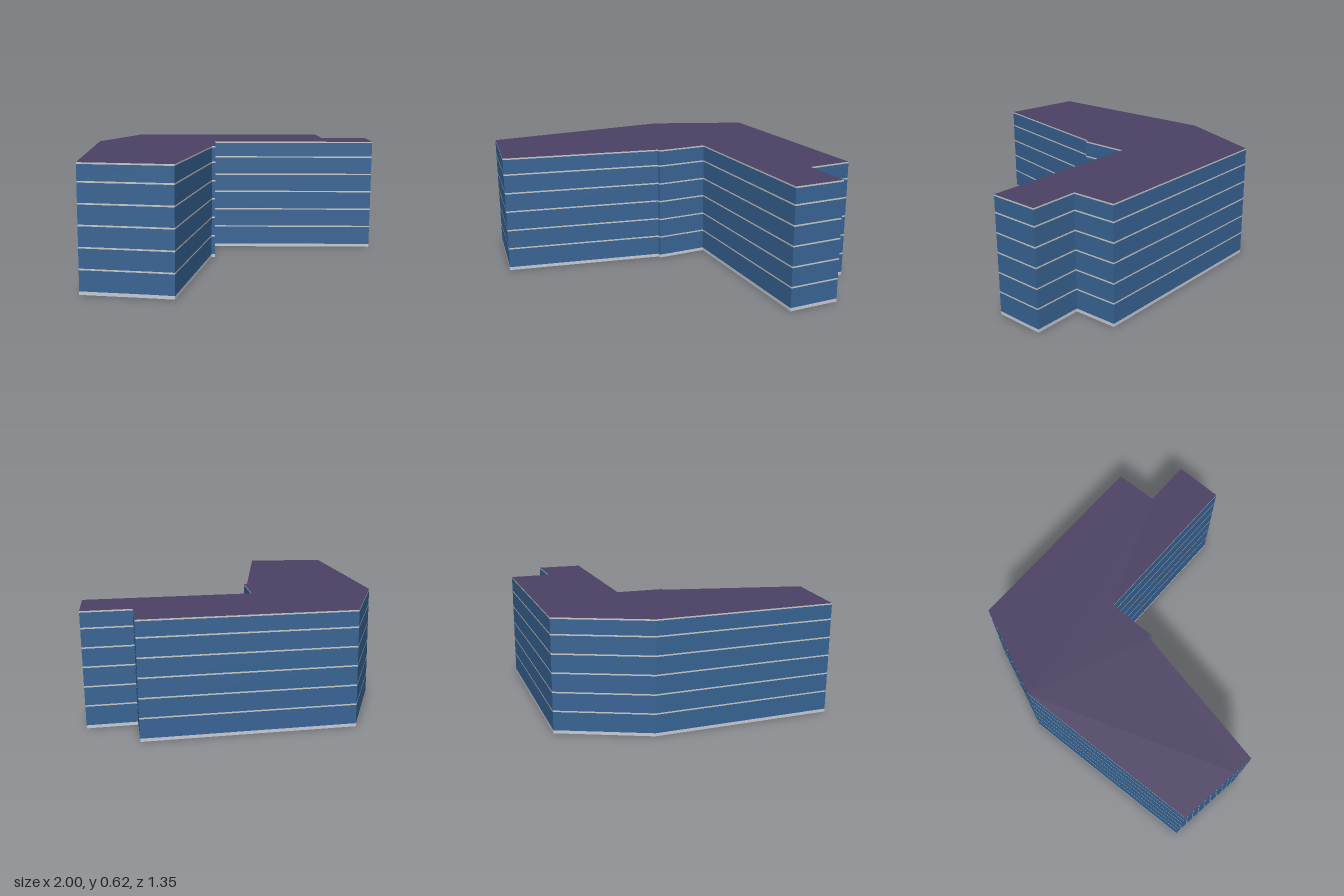
import * as THREE from 'three';

// Footprint corners as [x, z], clockwise seen from above
const FOOTPRINT = [
  [0.137, -0.674], [0.957, 0.067], [0.802, 0.244], [0.998, 0.417], [0.817, 0.61],
  [0.147, 0.002], [-0.033, 0.2], [-0.049, 0.19], [-0.713, 0.674], [-0.782, 0.587],
  [-1, 0.323], [-0.345, -0.452],
];
const HEIGHT = 0.62;
const LEDGES = [0.122, 0.225, 0.329, 0.43, 0.531]; // floor line heights
const LEDGE = 0.008;
const WALL = 0.003; // wall thickness

// Footprint moved inwards by d, with mitred corners
function inset(points, d) {
  const n = points.length;
  const inward = (a, b) => new THREE.Vector2(a[1] - b[1], b[0] - a[0]).normalize();
  return points.map((p, i) => {
    const n1 = inward(points[(i + n - 1) % n], p);
    const n2 = inward(p, points[(i + 1) % n]);
    const k = d / (1 + n1.dot(n2));
    return [p[0] + (n1.x + n2.x) * k, p[1] + (n1.y + n2.y) * k];
  });
}

// Vertical wall along an outline between two heights, facing right of its direction
function wallBand(outline, y0, y1) {
  const pos = [];
  outline.forEach((a, i) => {
    const b = outline[(i + 1) % outline.length];
    const corners = [[b, y0], [a, y0], [a, y1], [b, y0], [a, y1], [b, y1]];
    for (const [c, y] of corners) pos.push(c[0], y, c[1]);
  });
  const geo = new THREE.BufferGeometry();
  geo.setAttribute('position', new THREE.Float32BufferAttribute(pos, 3));
  geo.computeVertexNormals();
  return geo;
}

export function createModel() {
  const glass = new THREE.MeshStandardMaterial({ color: 0x386494 });
  glass.name = 'blue glass';
  const stone = new THREE.MeshStandardMaterial({ color: 0xcacac9 });
  stone.name = 'neutral grey stone';
  const concrete = new THREE.MeshStandardMaterial({ color: 0xc8cbd5 });
  concrete.name = 'cool grey concrete';
  const roofing = new THREE.MeshStandardMaterial({ color: 0x4c4164, side: THREE.DoubleSide });
  roofing.name = 'purple roofing';

  const group = new THREE.Group();
  group.name = 'building';
  const add = (name, geo, mat) => {
    const mesh = new THREE.Mesh(geo, mat);
    mesh.name = name;
    group.add(mesh);
  };

  // Grey bands: plinth, floor ledges, roof edge; glass fills the gaps
  const bands = [
    ['plinth', 0, 0.017, concrete],
    ...LEDGES.map((y, i) => [`floorLedge${i + 1}`, y - LEDGE / 2, y + LEDGE / 2, stone]),
    ['roofEdge', HEIGHT - 0.008, HEIGHT, stone],
  ];
  bands.forEach(([name, y0, y1, mat], i) => {
    add(name, wallBand(FOOTPRINT, y0, y1), mat);
    if (i + 1 < bands.length) {
      add(`glassStorey${i + 1}`, wallBand(FOOTPRINT, y1, bands[i + 1][1]), glass);
    }
  });

  // Inner face of the walls, seen through the open underside
  add('innerWall', wallBand(inset(FOOTPRINT, WALL).reverse(), 0, HEIGHT), concrete);

  // Flat roof
  const shape = new THREE.Shape(FOOTPRINT.map(([x, z]) => new THREE.Vector2(x, -z)));
  const roof = new THREE.ShapeGeometry(shape);
  roof.rotateX(-Math.PI / 2);
  roof.translate(0, HEIGHT, 0);
  add('roof', roof, roofing);

  return group;
}
